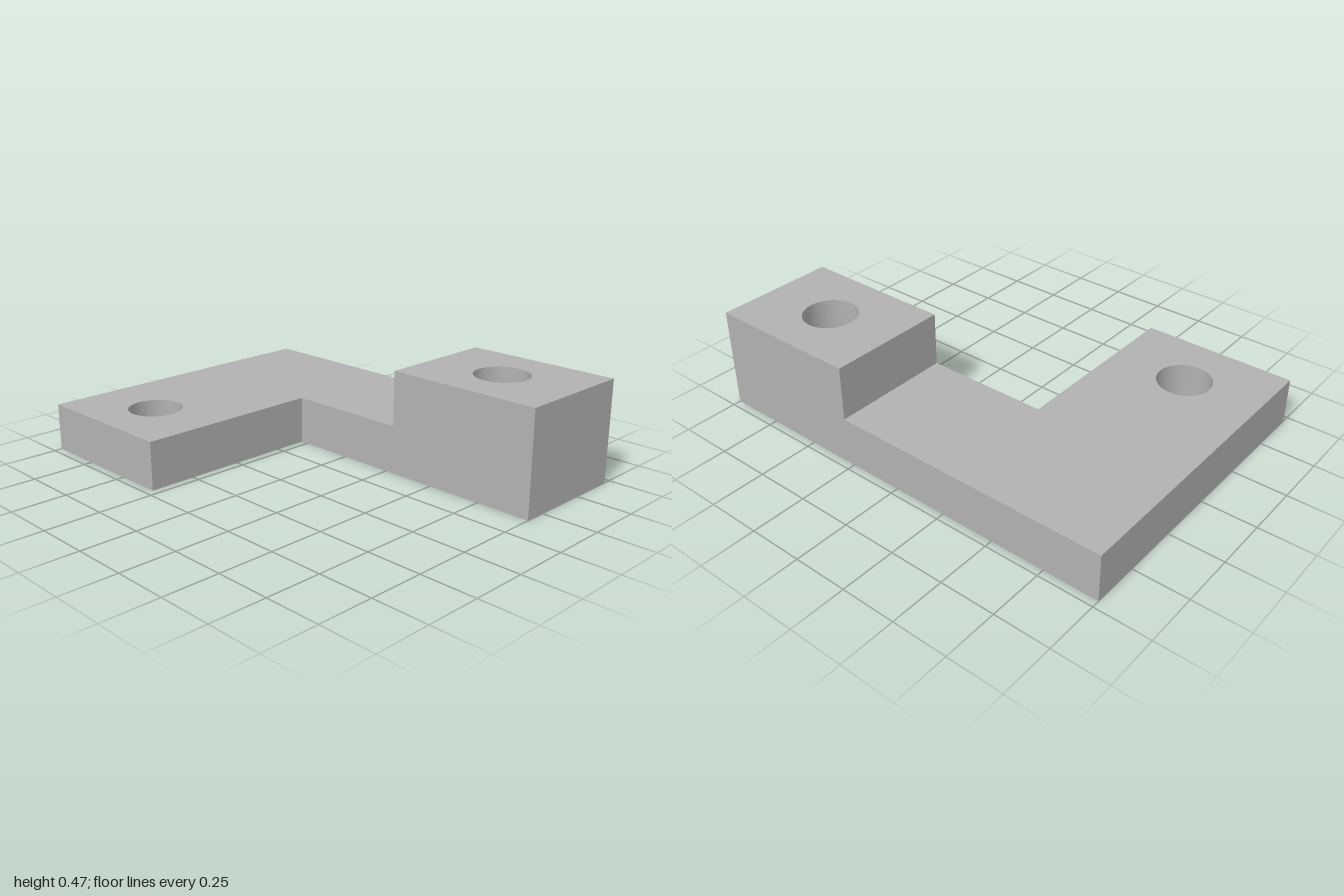
import * as THREE from 'three';
import { toCreasedNormals } from 'three/addons/utils/BufferGeometryUtils.js';

const BACK = -0.714, FRONT = 0.714; // z limits
const ARM_FRONT = -0.152;           // front face of the long arm
const PLATE_TOP = 0.217, POCKET_TOP = 0.26, BLOCK_TOP = 0.465;
const BLOCK_HOLE = [0.64, -0.433], PLATE_HOLE = [-0.643, 0.426];

// Shapes are drawn in plan with y = -z, so they stand up after rotation
function outline(points) {
  return new THREE.Shape(points.map(([x, z]) => new THREE.Vector2(x, -z)));
}

function roundHole([x, z]) {
  return new THREE.Path().absarc(x, -z, 0.123, 0, Math.PI * 2, true);
}

// Hexagonal nut pocket with its points along z
function hexHole([x, z]) {
  const points = [];
  for (let i = 0; i < 6; i++) {
    const a = Math.PI / 6 + (i * Math.PI) / 3;
    points.push(new THREE.Vector2(x + 0.237 * Math.cos(a), -z + 0.237 * Math.sin(a)));
  }
  points.push(points[0].clone());
  return new THREE.Path(points);
}

export function createModel() {
  const group = new THREE.Group();
  const grey = new THREE.MeshStandardMaterial({ color: 0xb2b2b2 });
  grey.name = 'grey';

  function slab(name, points, holes, bottom, top) {
    const shape = outline(points);
    shape.holes.push(...holes);
    let geometry = new THREE.ExtrudeGeometry(shape, {
      depth: top - bottom, bevelEnabled: false, curveSegments: 48,
    });
    geometry.rotateX(-Math.PI / 2).translate(0, bottom, 0);
    geometry = toCreasedNormals(geometry, 0.5);
    const mesh = new THREE.Mesh(geometry, grey);
    mesh.name = name;
    group.add(mesh);
  }

  // L-shaped base plate with a screw hole and the mouth of the nut pocket
  slab('basePlate', [
    [-1, FRONT], [-0.286, FRONT], [-0.286, ARM_FRONT],
    [1, ARM_FRONT], [1, BACK], [-1, BACK],
  ], [roundHole(PLATE_HOLE), hexHole(BLOCK_HOLE)], 0, PLATE_TOP);

  // Raised block: the end of the nut pocket, then the screw hole above it
  const block = [[0.286, ARM_FRONT], [1, ARM_FRONT], [1, BACK], [0.286, BACK]];
  slab('blockPocketLayer', block, [hexHole(BLOCK_HOLE)], PLATE_TOP, POCKET_TOP);
  slab('blockTop', block, [roundHole(BLOCK_HOLE)], POCKET_TOP, BLOCK_TOP);

  return group;
}
